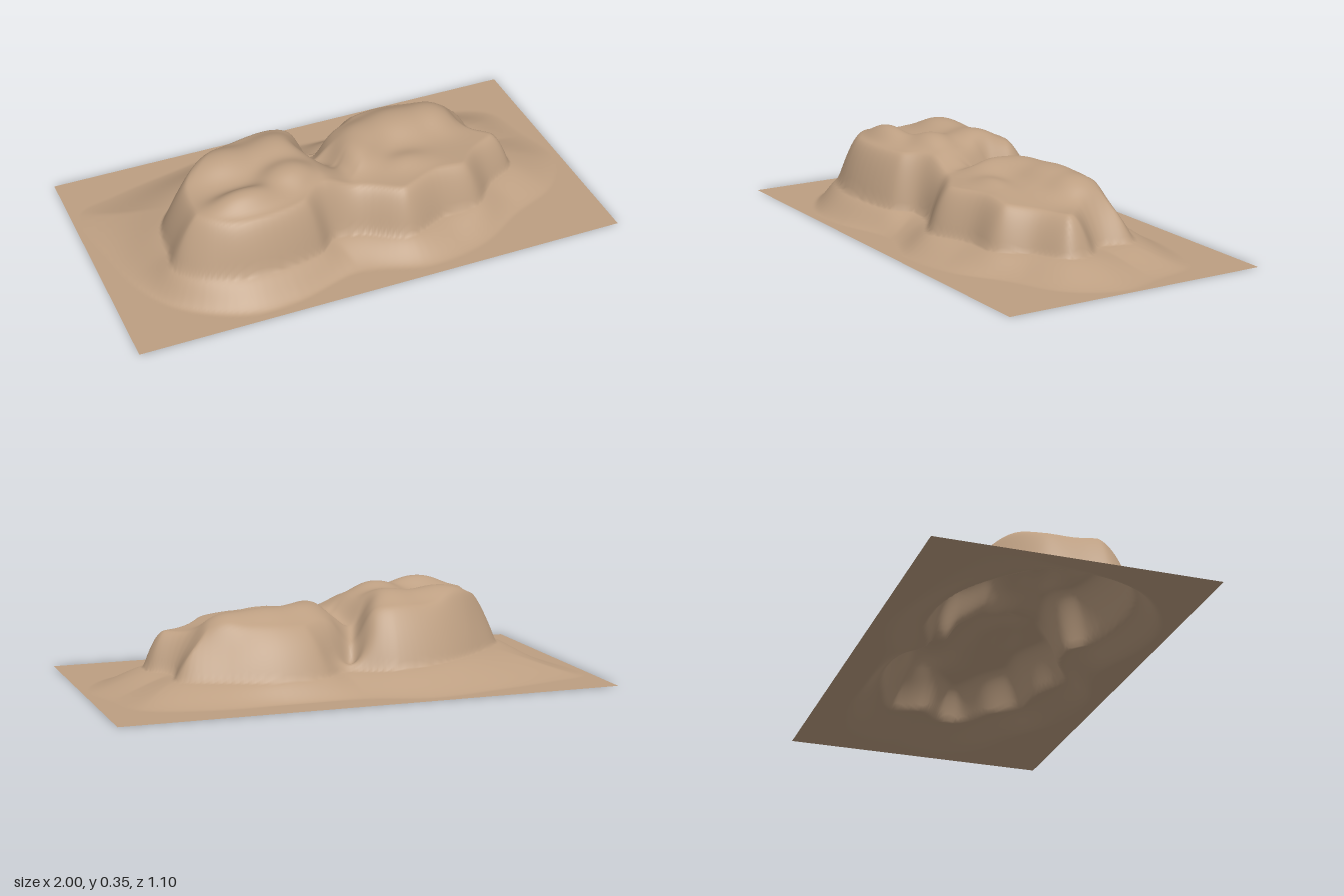
import * as THREE from 'three';

// Smooth closed outline through [x, z] control points
const outline = (pts, n) => new THREE.CatmullRomCurve3(
  pts.map(([x, z]) => new THREE.Vector3(x, 0, z)), true, 'centripetal').getPoints(n);

const cliffBase = outline([
  [-0.74, 0.14], [-0.75, 0.24], [-0.66, 0.34], [-0.47, 0.395], [-0.2, 0.35], [-0.11, 0.28],
  [0, 0.29], [0.17, 0.375], [0.35, 0.315], [0.5, 0.3], [0.6, 0.2], [0.73, 0.12], [0.735, 0.03],
  [0.66, -0.06], [0.68, -0.2], [0.5, -0.29], [0.3, -0.34], [0.13, -0.32], [0.02, -0.25],
  [-0.18, -0.31], [-0.4, -0.28], [-0.58, -0.17], [-0.71, -0.03]], 160);

const foot = outline([
  [-0.96, -0.33], [-0.93, 0], [-0.88, 0.2], [-0.77, 0.37], [-0.55, 0.5], [-0.35, 0.5],
  [-0.1, 0.43], [0, 0.44], [0.2, 0.5], [0.45, 0.46], [0.65, 0.34], [0.87, 0.23], [0.97, 0.05],
  [0.92, -0.15], [0.86, -0.33], [0.6, -0.42], [0.3, -0.42], [0, -0.43], [-0.25, -0.5],
  [-0.55, -0.45], [-0.8, -0.39]], 120);

// Gully between the two lobes
const gully = [[0.04, -0.32], [-0.02, -0.2], [-0.08, -0.06], [-0.02, 0.05], [0.05, 0.14]];

// Summit swells: x, z, height, x radius, z radius
const swells = [
  [-0.45, -0.04, 0.065, 0.13, 0.09], [-0.22, -0.05, 0.06, 0.1, 0.1],
  [-0.45, 0.21, 0.065, 0.12, 0.06], [-0.24, 0.13, 0.065, 0.1, 0.07],
  [0.06, 0.06, 0.05, 0.09, 0.08], [0.13, -0.04, 0.06, 0.09, 0.09],
  [0.3, -0.08, 0.07, 0.13, 0.1], [0.48, -0.09, 0.06, 0.08, 0.09], [0.25, 0.15, 0.02, 0.1, 0.06]];

const smooth = THREE.MathUtils.smoothstep;

function segmentDistance(x, z, ax, az, bx, bz) {
  const dx = bx - ax, dz = bz - az;
  const t = THREE.MathUtils.clamp(((x - ax) * dx + (z - az) * dz) / (dx * dx + dz * dz || 1), 0, 1);
  return [Math.hypot(x - ax - t * dx, z - az - t * dz), t];
}

// Signed distance to an outline, positive inside
function inside(x, z, loop) {
  let best = 9, sign = -1;
  for (let i = 0; i < loop.length - 1; i++) {
    const a = loop[i], b = loop[i + 1];
    best = Math.min(best, segmentDistance(x, z, a.x, a.z, b.x, b.z)[0]);
    if ((a.z > z) !== (b.z > z) && x < a.x + (z - a.z) / (b.z - a.z) * (b.x - a.x)) sign = -sign;
  }
  return best * sign;
}

function heightAt(x, z) {
  const dFoot = inside(x, z, foot);
  if (dFoot <= 0) return 0;
  const dCliff = inside(x, z, cliffBase);

  // Sloping skirt
  const skirtTop = 0.07 + 0.025 * smooth(-x, 0, 0.6);
  if (dCliff <= 0) {
    const t = dFoot / (dFoot - dCliff);
    return skirtTop * (0.5 * t + 0.5 * smooth(t, 0, 1));
  }

  // Cliff, gentler at the back and at the left-hand end
  const rim = 0.245 + 0.045 * smooth(-x, -0.02, 0.12) - 0.03 * smooth(x, 0.35, 0.62);
  const width = 0.085 + 0.05 * smooth(-z, -0.05, 0.25) + 0.035 * smooth(-x, 0.52, 0.7);
  const t = Math.min(dCliff / width, 1);
  let h = skirtTop + (rim - skirtTop) * (1 - (1 - t) ** 1.75);

  // Summit relief, levelling off towards the crest
  let relief = 0;
  for (const [sx, sz, a, rx, rz] of swells)
    relief += a * Math.exp(-(((x - sx) / rx) ** 2) - ((z - sz) / rz) ** 2);
  h += 0.075 * Math.tanh(relief / 0.06) * smooth(dCliff, 0.03, 0.13);

  // Gully, fading out towards the front
  let cut = 0;
  for (let i = 0; i < gully.length - 1; i++) {
    const [d, s] = segmentDistance(x, z, ...gully[i], ...gully[i + 1]);
    const depth = 0.17 * (1 - (i + s) / (gully.length - 1));
    cut = Math.max(cut, depth * Math.exp(-((d / 0.055) ** 2)));
  }
  return Math.max(h - cut * smooth(dCliff, 0, 0.08), skirtTop);
}

export function createModel() {
  const group = new THREE.Group();
  group.name = 'mesa';

  const sandstone = new THREE.MeshStandardMaterial({ color: 0xbd9f82, side: THREE.DoubleSide });
  sandstone.name = 'sandstone';

  // Ground sheet raised into the mesa
  const geometry = new THREE.PlaneGeometry(2, 1.1, 200, 110).rotateX(-Math.PI / 2);
  const p = geometry.attributes.position;
  for (let i = 0; i < p.count; i++) p.setY(i, heightAt(p.getX(i), p.getZ(i)));
  geometry.computeVertexNormals();

  const terrain = new THREE.Mesh(geometry, sandstone);
  terrain.name = 'terrain';
  group.add(terrain);
  return group;
}
